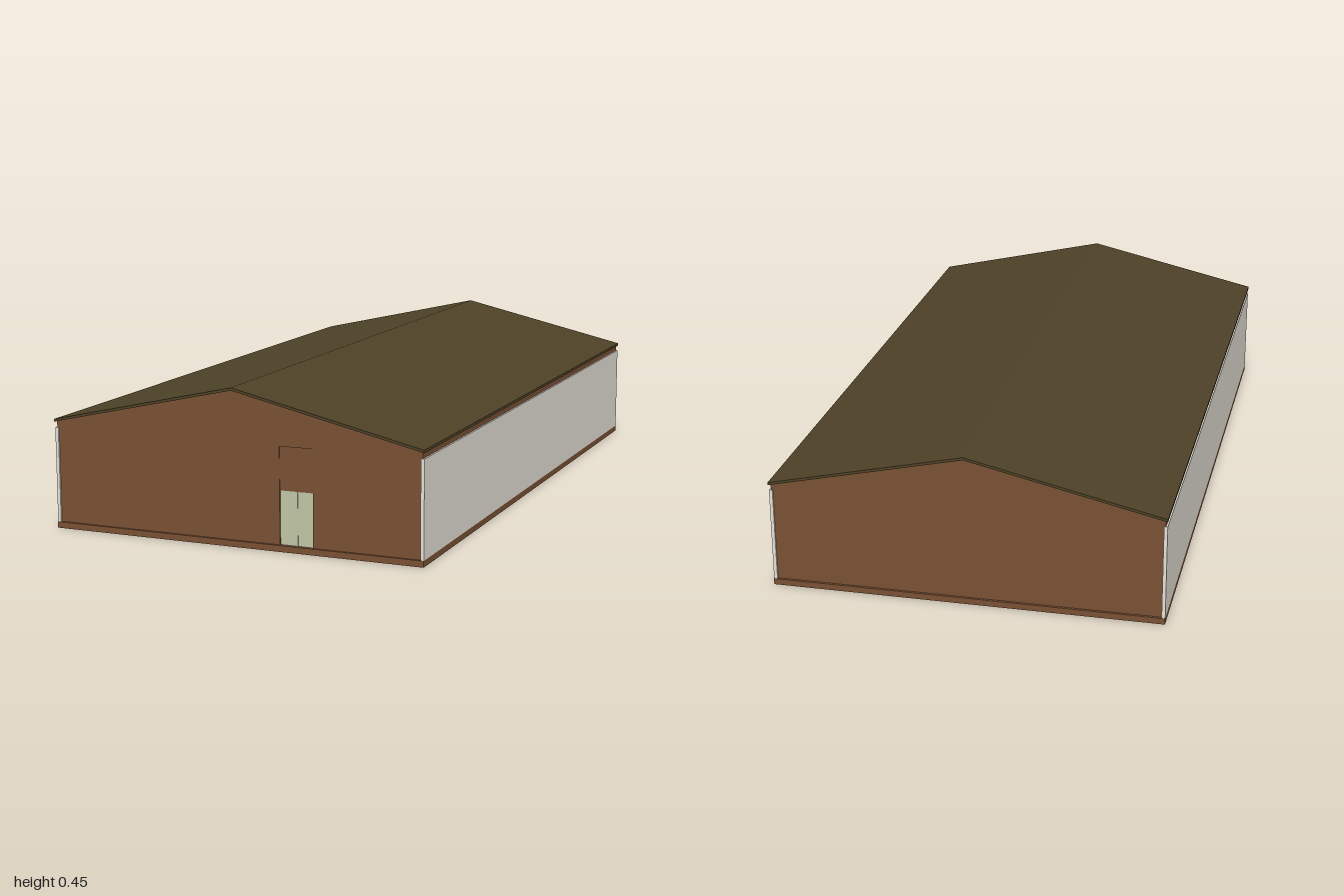
import * as THREE from 'three';

const mat = (name, color, side = THREE.FrontSide) => {
  const m = new THREE.MeshStandardMaterial({ color, side });
  m.name = name;
  return m;
};

export function createModel() {
  const model = new THREE.Group();
  model.name = 'hall';
  const brick = mat('brown brick', 0x7a5134);
  const panel = mat('pale side cladding', 0xe6e1d8);
  const roofing = mat('dark olive roofing', 0x4e4227);
  const door = mat('pale green door', 0xc2c6a6);

  // Box given by its min and max corners
  function box(name, material, x0, x1, y0, y1, z0, z1) {
    const mesh = new THREE.Mesh(new THREE.BoxGeometry(x1 - x0, y1 - y0, z1 - z0), material);
    mesh.position.set((x0 + x1) / 2, (y0 + y1) / 2, (z0 + z1) / 2);
    mesh.name = name;
    model.add(mesh);
  }

  // Profile in x and y, extruded along z about the centre
  function prism(name, material, points, length) {
    const shape = new THREE.Shape(points.map(([x, y]) => new THREE.Vector2(x, y)));
    const geo = new THREE.ExtrudeGeometry(shape, { depth: length, bevelEnabled: false });
    geo.translate(0, 0, -length / 2);
    const mesh = new THREE.Mesh(geo, material);
    mesh.name = name;
    model.add(mesh);
  }

  const base = 0.018, eave = 0.296, wallX = 0.555, wallZ = 0.99;
  const doorL = 0.14, doorR = 0.24, doorTop = 0.172;

  // Plinth
  box('plinth', brick, -0.565, 0.565, 0, base, -0.997, 0.997);

  // End walls, with the front one split around the doorway
  box('backWall', brick, -wallX, wallX, base, eave, -wallZ, -wallZ + 0.02);
  box('frontWallWide', brick, -wallX, doorL, base, eave, wallZ - 0.02, wallZ);
  box('frontWallNarrow', brick, doorR, wallX, base, eave, wallZ - 0.02, wallZ);
  box('panelAboveDoor', brick, doorL, doorR, doorTop, eave, wallZ - 0.02, wallZ - 0.002);

  // Double door with a narrow centre post
  box('doorLeafRight', door, doorL, 0.188, base, doorTop, wallZ - 0.014, wallZ - 0.005);
  box('doorLeafLeft', door, 0.193, doorR, base, doorTop, wallZ - 0.014, wallZ - 0.005);
  box('doorPost', door, 0.188, 0.193, base, doorTop, wallZ - 0.014, wallZ - 0.003);

  // Long side cladding
  for (const s of [-1, 1]) {
    const a = s * wallX, b = s * 0.565;
    box(s > 0 ? 'leftCladding' : 'rightCladding', panel,
      Math.min(a, b), Math.max(a, b), base, eave, -0.995, 0.995);
  }

  // Gable body under the roof
  prism('gable', brick, [[-0.56, eave], [0.56, eave], [0.56, 0.314], [0, 0.443], [-0.56, 0.314]], 1.984);

  // Thin pitched roof
  prism('roof', roofing, [
    [-0.566, 0.313], [0, 0.442], [0.566, 0.313],
    [0.566, 0.321], [0, 0.45], [-0.566, 0.321],
  ], 2);

  return model;
}
